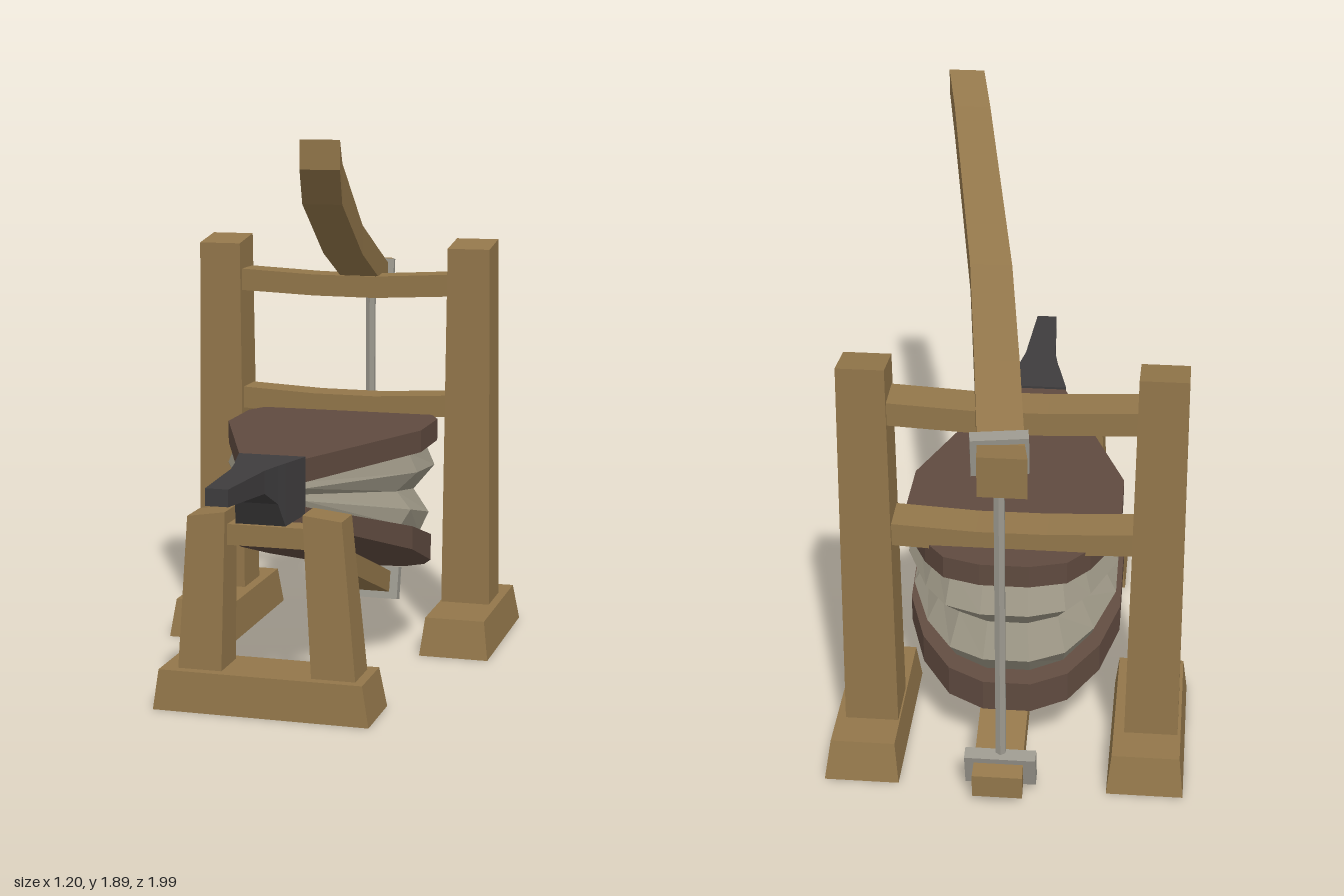
import * as THREE from 'three';

const mat = (name, color, side = THREE.FrontSide) => {
  const m = new THREE.MeshStandardMaterial({ color, side, flatShading: true });
  m.name = name;
  return m;
};

// Skin a stack of equal-length rings; faces are turned outward by signed volume.
function loft(rings, capStart = true, capEnd = true) {
  const tris = [];
  const n = rings[0].length;
  for (let i = 0; i + 1 < rings.length; i++) {
    for (let j = 0; j < n; j++) {
      const k = (j + 1) % n, a = rings[i], b = rings[i + 1];
      tris.push([a[j], a[k], b[k]], [a[j], b[k], b[j]]);
    }
  }
  const first = rings[0], last = rings[rings.length - 1];
  for (let j = 1; j + 1 < n; j++) {
    if (capStart) tris.push([first[0], first[j + 1], first[j]]);
    if (capEnd) tris.push([last[0], last[j], last[j + 1]]);
  }
  const c = new THREE.Vector3();
  rings.flat().forEach(p => c.add(new THREE.Vector3(...p)));
  c.divideScalar(n * rings.length);
  let volume = 0;
  for (const t of tris) {
    const [p, q, r] = t.map(v => new THREE.Vector3(...v).sub(c));
    volume += p.dot(q.cross(r));
  }
  if (volume < 0) tris.forEach(t => t.reverse());
  const g = new THREE.BufferGeometry();
  g.setAttribute('position', new THREE.Float32BufferAttribute(tris.flat(2), 3));
  g.computeVertexNormals();
  return g;
}

// Horizontal rectangle [x0, x1, z0, z1] at height y; yBack lifts the z0 edge.
const slab = ([x0, x1, z0, z1], y, yBack = y) =>
  [[x0, yBack, z0], [x1, yBack, z0], [x1, y, z1], [x0, y, z1]];

// Beam along z from sections [z, centre x, half width, bottom y, top y].
const zBeam = sections => loft(sections.map(([z, x, w, b, t]) =>
  [[x - w, b, z], [x + w, b, z], [x + w, t, z], [x - w, t, z]]));

// Beam along x from sections [x, bottom y, top y].
const xBeam = (sections, z0, z1) => loft(sections.map(([x, b, t]) =>
  [[x, b, z0], [x, b, z1], [x, t, z1], [x, t, z0]]));

// Closed outline from its right half.
const mirrorOutline = half =>
  [...half, ...half.slice().reverse().map(([x, z]) => [-x, z])];

export function createModel() {
  const wood = mat('wood', 0x92764a);
  const hollowWood = wood.clone();
  hollowWood.side = THREE.DoubleSide;
  const board = mat('brown board', 0x5f4a3f);
  const leather = mat('pale leather', 0x9c9685, THREE.DoubleSide);
  const iron = mat('dark iron', 0x3e3c3d);
  const steel = mat('grey steel', 0x9b988e);

  const model = new THREE.Group();
  model.name = 'forgeBellows';
  const add = (name, geometry, material) => {
    const mesh = new THREE.Mesh(geometry, material);
    mesh.name = name;
    model.add(mesh);
    return mesh;
  };

  // Bases, open underneath
  const base = (name, low, high) =>
    add(name, loft([slab(low, 0), slab(high, 0.135)], false, true), hollowWood);
  base('rightPostBase', [-0.6, -0.345, -0.845, -0.225], [-0.585, -0.36, -0.815, -0.26]);
  base('leftPostBase', [0.35, 0.6, -0.85, -0.23], [0.365, 0.58, -0.815, -0.26]);
  base('frontStandBase', [-0.352, 0.385, 0.382, 0.632], [-0.335, 0.36, 0.395, 0.62]);

  // Tall posts with sloping tops
  add('rightPost', loft([slab([-0.575, -0.395, -0.685, -0.5], 0.1),
    slab([-0.567, -0.412, -0.67, -0.51], 1.445, 1.47)]), wood);
  add('leftPost', loft([slab([0.37, 0.55, -0.685, -0.5], 0.1),
    slab([0.378, 0.532, -0.67, -0.51], 1.445, 1.47)]), wood);

  // Sagging cross rails
  const rail = (name, y) => add(name, xBeam([
    [-0.43, y - 0.08, y], [-0.13, y - 0.093, y - 0.015],
    [0.1, y - 0.095, y - 0.016], [0.4, y - 0.08, y]], -0.66, -0.53), wood);
  rail('upperRail', 1.35);
  rail('lowerRail', 0.905);

  // Front stand legs and tie
  const leg = (name, low, high, yOuter, yInner) => {
    const top = slab(high, 0.65);
    top.forEach(p => { p[1] = Math.abs(p[0]) > 0.2 ? yOuter : yInner; });
    add(name, loft([slab(low, 0.1), top]), wood);
  };
  leg('rightLeg', [-0.28, -0.128, 0.43, 0.587], [-0.252, -0.122, 0.43, 0.557], 0.645, 0.665);
  leg('leftLeg', [0.182, 0.332, 0.43, 0.587], [0.142, 0.274, 0.43, 0.557], 0.655, 0.67);
  add('standTie', xBeam([[-0.14, 0.55, 0.62], [0.17, 0.55, 0.62]], 0.445, 0.53), wood);

  // Pumping lever
  add('lever', zBeam([
    [0.86, 0.285, 0.063, 1.8, 1.89], [0.7, 0.248, 0.064, 1.685, 1.812],
    [-0.07, 0.105, 0.07, 1.46, 1.56], [-0.52, 0.042, 0.072, 1.34, 1.443],
    [-0.88, -0.005, 0.073, 1.243, 1.347], [-0.985, -0.018, 0.077, 1.222, 1.36]]), wood);

  // Lifting arm under the bellows
  add('liftArm', zBeam([
    [-0.21, 0.008, 0.08, 0.3, 0.385], [-0.82, 0.01, 0.08, 0.073, 0.158],
    [-0.935, 0.01, 0.083, 0.033, 0.115]]), wood);

  // Straps and pull rod
  const strap = (name, width, height, x, y, tilt, turn) => {
    const m = add(name, new THREE.BoxGeometry(width, height, 0.045), steel);
    m.position.set(x, y, -0.855);
    m.rotation.set(tilt, turn, 0);
  };
  strap('upperStrap', 0.18, 0.135, 0.002, 1.302, -0.14, 0.14);
  strap('lowerStrap', 0.235, 0.125, 0.005, 0.1, -0.25, 0);
  add('pullRod', new THREE.CylinderGeometry(0.019, 0.019, 1.14, 6), steel)
    .position.set(0.004, 0.69, -0.855);

  // Bellows boards: the lower one slopes down toward the back
  const upper = mirrorOutline([[0.11, 0.43], [0.357, -0.2], [0.36, -0.45],
    [0.27, -0.64], [0.2, -0.725], [0.08, -0.76]]);
  const lower = mirrorOutline([[0.12, 0.43], [0.36, -0.07], [0.36, -0.36],
    [0.3, -0.52], [0.2, -0.64], [0.08, -0.69]]);
  const lowerTop = z => 0.67 - 0.315 * (0.43 - z);
  const lowerBottom = z => 0.61 - 0.36 * (0.43 - z);
  add('upperBoard', loft([0.752, 0.83].map(y => upper.map(([x, z]) => [x, y, z]))), board);
  add('lowerBoard', loft([lowerBottom, lowerTop].map(f =>
    lower.map(([x, z]) => [x, f(z), z]))), board);

  // Pleated skin: ridges and valleys fanning out from the nozzle
  const pleats = [[0, 0.9, 0.95], [0.25, 0.98, 1.015], [0.5, 0.82, 0.94],
    [0.75, 0.96, 1], [1, 0.9, 0.95]];
  add('pleatedSkin', loft(pleats.map(([t, sx, sz]) => upper.map(([ux, uz], i) => {
    const [lx, lz] = lower[i];
    const x = THREE.MathUtils.lerp(ux, lx, t) * sx;
    const z = 0.43 - (0.43 - THREE.MathUtils.lerp(uz, lz, t)) * sz;
    return [x, THREE.MathUtils.lerp(0.752, lowerTop(z), t), z];
  })), false, false), leather);

  // Iron nozzle
  add('nozzle', zBeam([
    [0.425, 0, 0.115, 0.645, 0.838], [0.555, 0, 0.085, 0.63, 0.838],
    [0.6, 0, 0.073, 0.712, 0.838], [0.69, 0, 0.056, 0.763, 0.838],
    [1, 0, 0.037, 0.783, 0.838]]), iron);

  return model;
}
